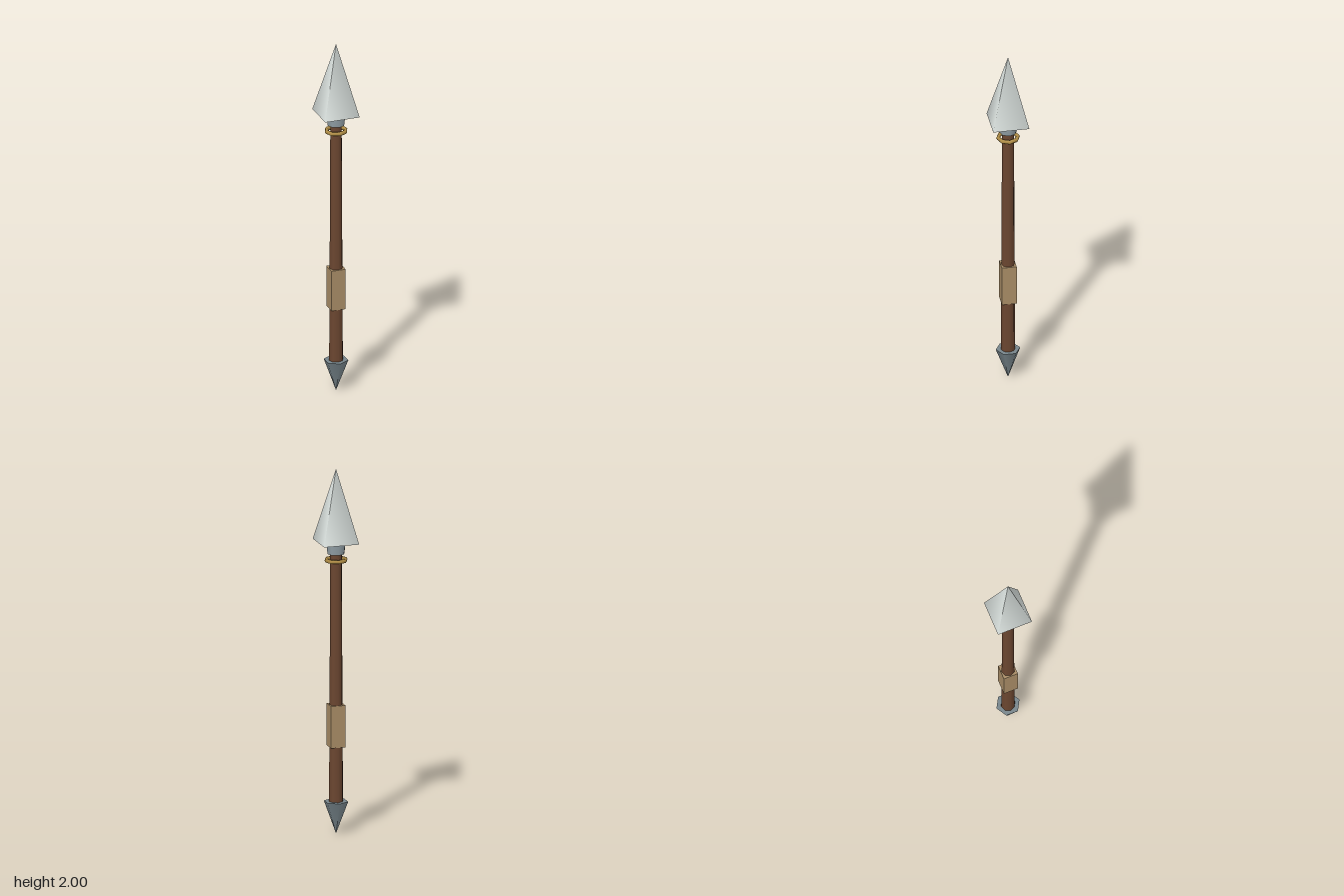
import * as THREE from 'three';

export function createModel() {
  const group = new THREE.Group();
  const add = (name, geometry, color, y) => {
    const mesh = new THREE.Mesh(geometry, new THREE.MeshStandardMaterial({ color }));
    mesh.name = name;
    mesh.position.y = y;
    group.add(mesh);
    return mesh;
  };
  // Cylinder or cone spanning y0 to y1
  const turned = (name, rTop, rBottom, y0, y1, sides, color) =>
    add(name, new THREE.CylinderGeometry(rTop, rBottom, y1 - y0, sides), color, (y0 + y1) / 2);

  // Tapered wooden shaft
  turned('shaft', 0.032, 0.039, 0.13, 1.58, 8, 0x6b4630);

  // Four-sided point on its socket
  turned('spearHead', 0, 0.138, 1.6, 2, 4, 0xd3dad7).rotation.y = Math.PI / 4;
  turned('headSocket', 0.056, 0.047, 1.535, 1.61, 8, 0x93a1a8);

  // Brass ring below the socket
  const ring = new THREE.TorusGeometry(0.053, 0.011, 6, 8).rotateX(Math.PI / 2);
  add('collarRing', ring, 0xb08d45, 1.5);

  // Square grip wrap
  add('gripWrap', new THREE.BoxGeometry(0.08, 0.23, 0.08), 0xa88c66, 0.593);

  // Six-sided butt spike, pointing down
  turned('buttSpike', 0.066, 0, 0, 0.177, 6, 0x78868c);

  return group;
}
